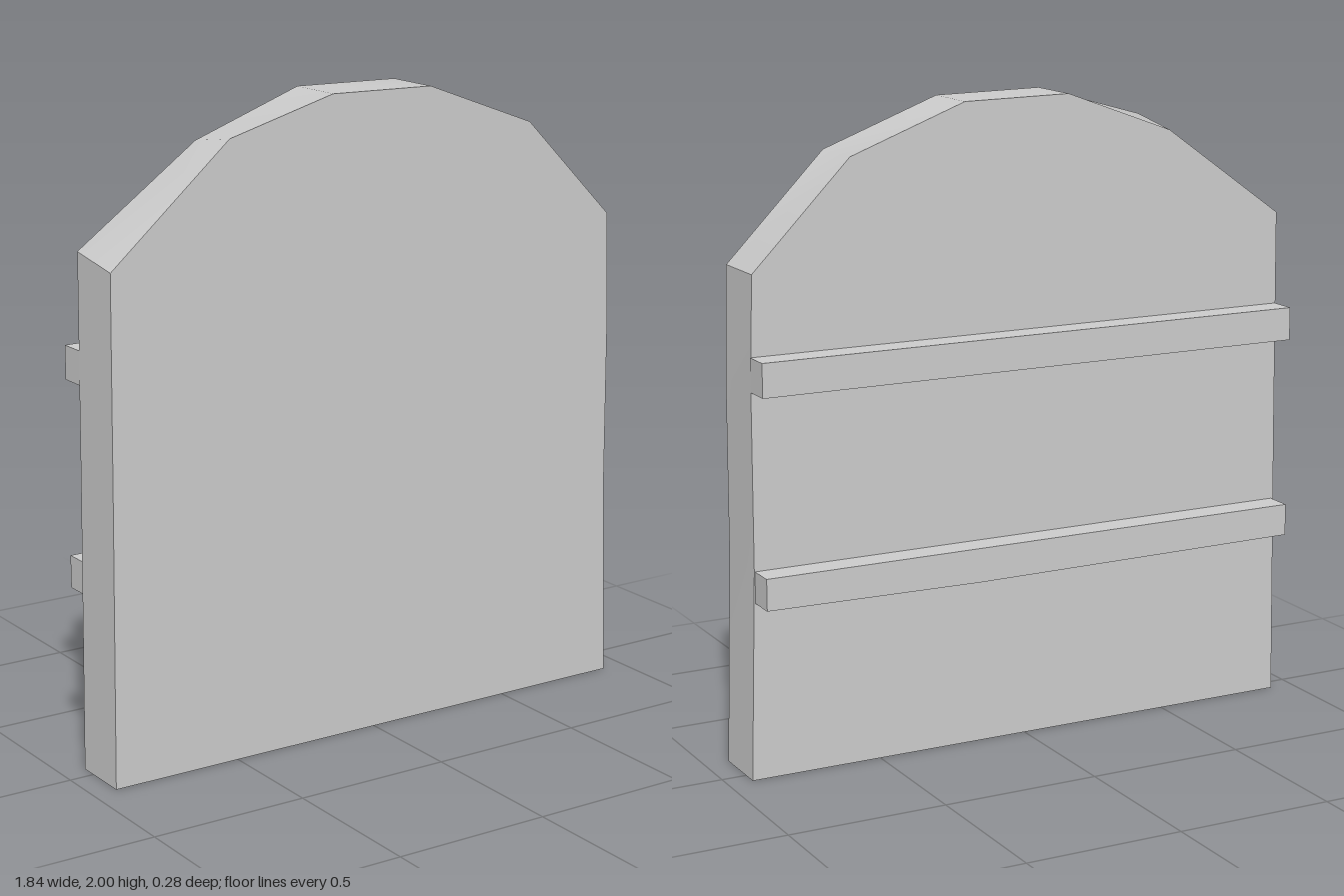
import * as THREE from 'three';
import { toCreasedNormals } from 'three/addons/utils/BufferGeometryUtils.js';

const material = new THREE.MeshStandardMaterial({ color: 0xcccccc });

// Extrudes an outline of [x, y] points from z = back to z = front
function slab(name, points, back, front, adjust) {
  const shape = new THREE.Shape(points.map(([x, y]) => new THREE.Vector2(x, y)));
  const geometry = new THREE.ExtrudeGeometry(shape, { depth: front - back, bevelEnabled: false });
  geometry.translate(0, 0, back);
  if (adjust) adjust(geometry.attributes.position);
  const mesh = new THREE.Mesh(toCreasedNormals(geometry, 0.6), material);
  mesh.name = name;
  return mesh;
}

// Rear edge of the arch is slightly warped on one side
function warpRearEdge(position) {
  for (let i = 0; i < position.count; i++) {
    if (position.getZ(i) > 0) continue;
    const x = position.getX(i), y = position.getY(i);
    if (y > 1.5 && x < -0.8) position.setY(i, y + 0.03);
    else if (y > 1.8 && x < -0.4) position.setY(i, y - 0.03);
  }
}

export function createModel() {
  const group = new THREE.Group();
  group.name = 'archedPanel';

  // Thick board with an uneven arched top
  const outline = [
    [-0.922, 0], [0.922, 0], [0.902, 0.65], [0.9, 1.2], [0.89, 1.535],
    [0.575, 1.855], [0.2, 1.995], [-0.15, 2], [-0.505, 1.9],
    [-0.903, 1.555], [-0.91, 0.9],
  ];
  group.add(slab('board', outline, -0.052, 0.14, warpRearEdge));

  // Two horizontal battens on the back
  group.add(slab('upperBatten',
    [[-0.905, 1.188], [0.9, 1.188], [0.9, 1.292], [-0.905, 1.292]], -0.14, -0.052));
  group.add(slab('lowerBatten',
    [[-0.905, 0.547], [0.2, 0.541], [0.9, 0.55], [0.9, 0.648], [-0.905, 0.648]], -0.14, -0.052));

  return group;
}
